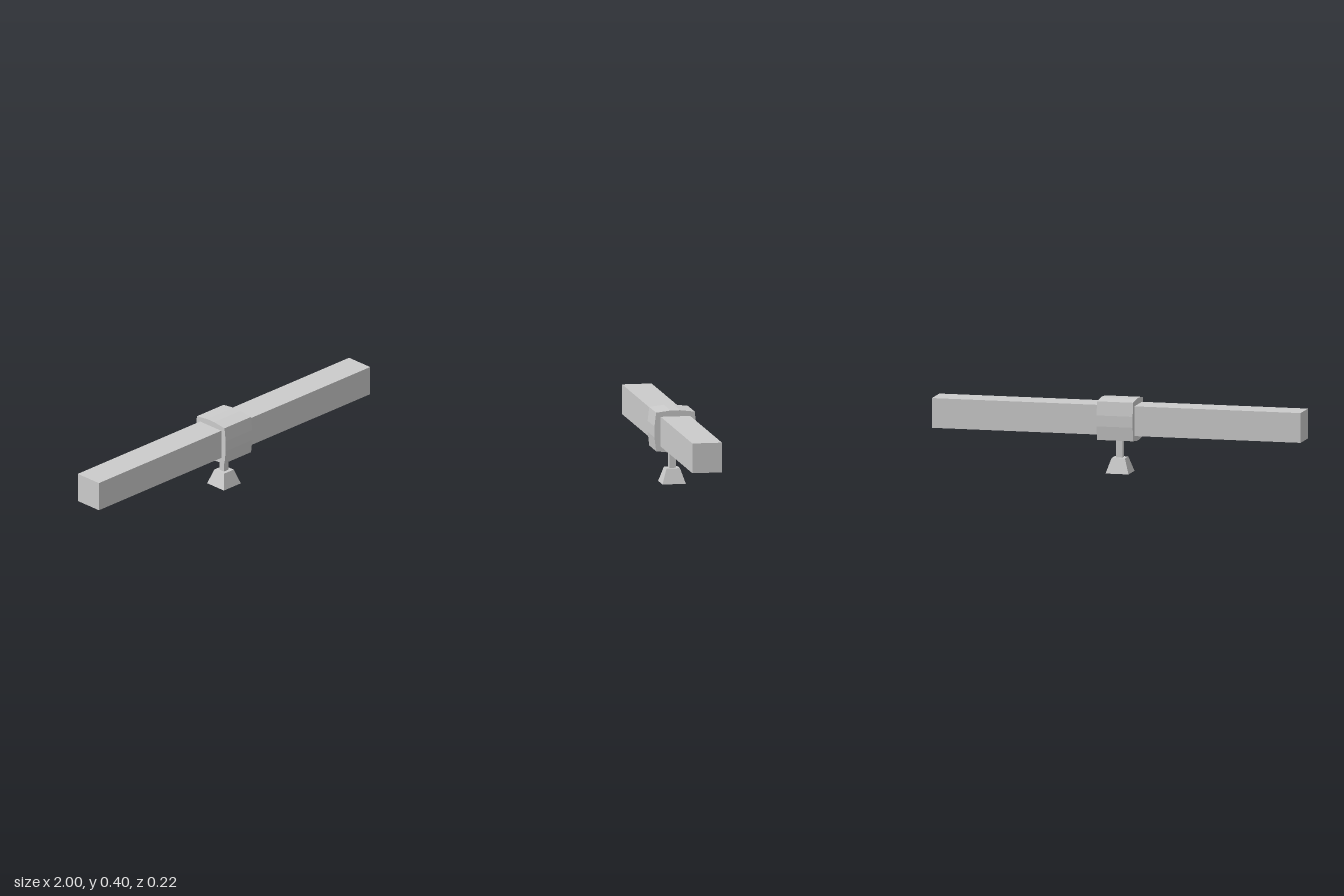
import * as THREE from 'three';

const material = new THREE.MeshStandardMaterial({ color: 0xcccccc, flatShading: true, side: THREE.DoubleSide });

function addMesh(group, name, geometry, x = 0, y = 0, z = 0) {
  const mesh = new THREE.Mesh(geometry, material);
  mesh.name = name;
  mesh.position.set(x, y, z);
  group.add(mesh);
}

// Four-sided tapered block, given by half widths at its bottom and top
function frustum(bottom, top, height, open = false) {
  const g = new THREE.CylinderGeometry(top * Math.SQRT2, bottom * Math.SQRT2, height, 4, 1, open);
  return g.rotateY(Math.PI / 4).translate(0, height / 2, 0);
}

export function createModel() {
  const model = new THREE.Group();
  model.name = 'beamOnStand';

  // Long square beam
  addMesh(model, 'beam', new THREE.BoxGeometry(2, 0.158, 0.158), 0, 0.287, 0);

  // Central collar: a bulging square, extruded along x
  const side = [[0.103, -0.1025], [0.112, -0.029], [0.112, 0.029], [0.103, 0.1025]];
  const quarter = [...side, [0.025, 0.112]];
  const outline = [...quarter, ...quarter.map(([z, y]) => [-z, -y])];
  outline.splice(5, 0, [-0.025, 0.112]);
  outline.push([0.025, -0.112]);
  const shape = new THREE.Shape(outline.map(([z, y]) => new THREE.Vector2(z, y)));
  const collar = new THREE.ExtrudeGeometry(shape, { depth: 0.196, bevelEnabled: false });
  collar.translate(0, 0, -0.098).rotateY(Math.PI / 2);
  addMesh(model, 'collar', collar, 0, 0.286, 0);

  // Post between foot and collar
  addMesh(model, 'post', new THREE.BoxGeometry(0.034, 0.12, 0.034), 0, 0.136, 0);

  // Tapered foot, hollow underneath
  addMesh(model, 'foot', frustum(0.0625, 0.036, 0.08, true));
  addMesh(model, 'footTop', new THREE.PlaneGeometry(0.072, 0.072).rotateX(-Math.PI / 2), 0, 0.08, 0);
  addMesh(model, 'footRecess', new THREE.PlaneGeometry(0.098, 0.098).rotateX(Math.PI / 2), 0, 0.04, 0);

  return model;
}
